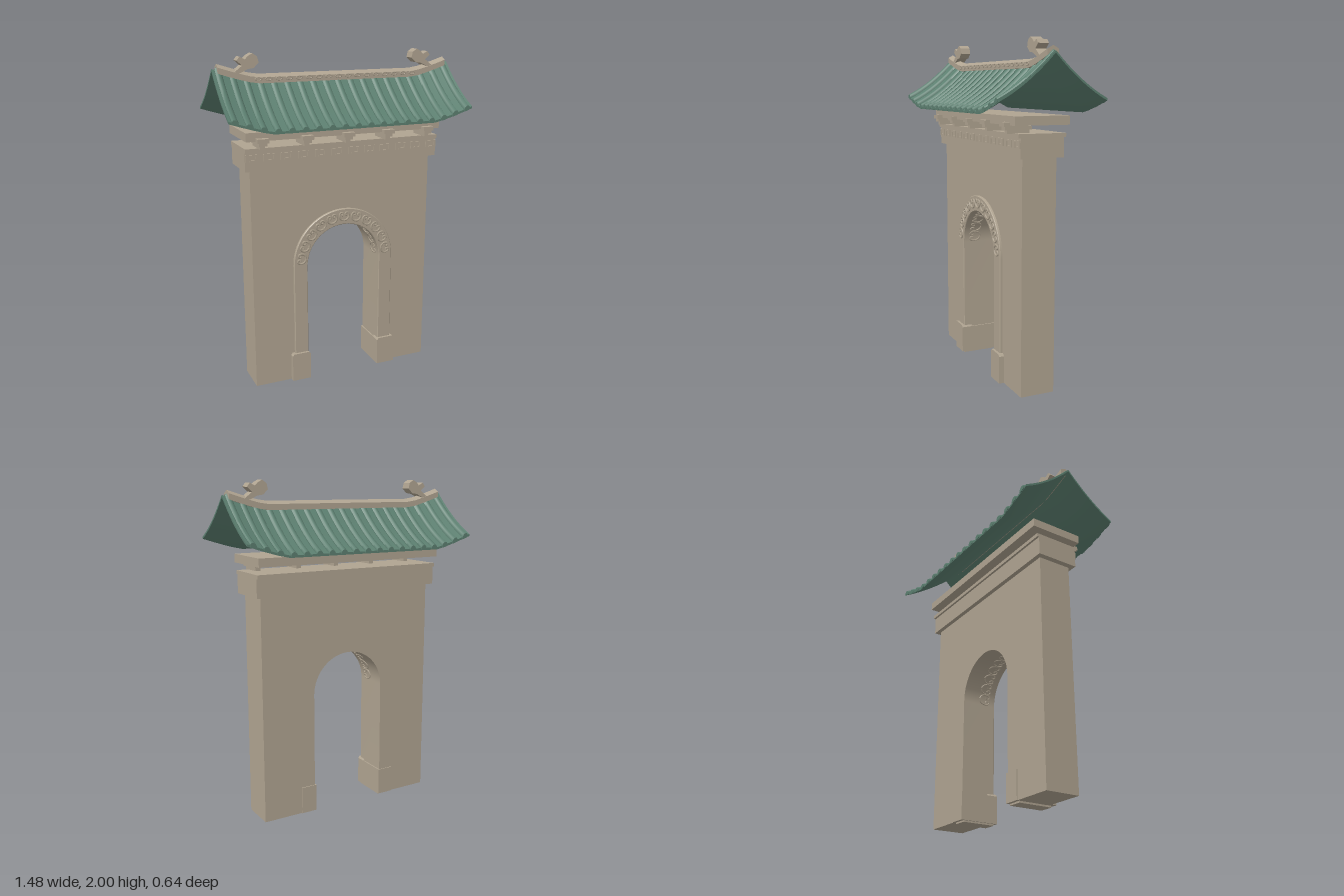
import * as THREE from 'three';
import { mergeGeometries, toCreasedNormals } from 'three/addons/utils/BufferGeometryUtils.js';

export function createModel() {
  const model = new THREE.Group();
  const stone = new THREE.MeshStandardMaterial({ color: 0xb0a491 });
  stone.name = 'stone';
  const tile = new THREE.MeshStandardMaterial({ color: 0x5c7f70 });
  tile.name = 'greenTile';

  const add = (name, geo, mat = stone) => {
    const mesh = new THREE.Mesh(geo, mat);
    mesh.name = name;
    model.add(mesh);
    return mesh;
  };
  // box from its limits on each axis
  const box = (x0, x1, y0, y1, z0, z1) =>
    new THREE.BoxGeometry(x1 - x0, y1 - y0, z1 - z0)
      .translate((x0 + x1) / 2, (y0 + y1) / 2, (z0 + z1) / 2);
  const deform = (geo, rule) => {
    const p = geo.attributes.position;
    const v = new THREE.Vector3();
    for (let i = 0; i < p.count; i++) {
      rule(v.fromBufferAttribute(p, i));
      p.setXYZ(i, v.x, v.y, v.z);
    }
    geo.computeVertexNormals();
    return geo;
  };
  const polygon = (pts) => new THREE.Shape(pts.map(([x, y]) => new THREE.Vector2(x, y)));

  // wall with arched gateway
  const SPRING = 0.745, INNER = 0.238, OUTER = 0.325;
  const wall = new THREE.Shape();
  wall.moveTo(-0.575, 0.01).lineTo(-INNER, 0.01).lineTo(-INNER, SPRING);
  wall.absarc(0, SPRING, INNER, Math.PI, 0, true);
  wall.lineTo(INNER, 0.01).lineTo(0.575, 0.01).lineTo(0.575, 1.36).lineTo(-0.575, 1.36);
  const wallGeo = new THREE.ExtrudeGeometry(wall, { depth: 0.207, bevelEnabled: false, curveSegments: 32 });
  add('wall', toCreasedNormals(wallGeo.translate(0, 0, -0.103), 0.5));

  // raised surround framing the gateway
  const band = new THREE.Shape();
  band.moveTo(-OUTER, 0).lineTo(-INNER, 0).lineTo(-INNER, SPRING);
  band.absarc(0, SPRING, INNER, Math.PI, 0, true);
  band.lineTo(INNER, 0).lineTo(OUTER, 0).lineTo(OUTER, SPRING + 0.01);
  band.absarc(0, SPRING + 0.01, OUTER, 0, Math.PI, false);
  const bandGeo = new THREE.ExtrudeGeometry(band, {
    depth: 0.014, curveSegments: 32,
    bevelSize: 0.004, bevelOffset: -0.004, bevelThickness: 0.004, bevelSegments: 1,
  });
  add('archSurround', toCreasedNormals(bandGeo.translate(0, 0, 0.102), 0.5));

  // plinths wrapping the jambs, with chamfered tops
  for (const s of [-1, 1]) {
    const plinth = polygon([[0.23, 0.01], [0.348, 0.01], [0.348, 0.175], [0.338, 0.188], [0.24, 0.188], [0.23, 0.175]]
      .map(([x, y]) => [s * x, y]));
    const front = new THREE.ExtrudeGeometry(plinth, { depth: 0.065, bevelEnabled: false }).translate(0, 0, 0.07);
    add('plinth', front);
    const x = s * 0.279;
    add('plinthBack', box(x - 0.049, x + 0.049, 0.01, 0.175, -0.109, 0.08));
    add('jambFoot', box(s * 0.281 - 0.043, s * 0.281 + 0.043, 0, 0.02, -0.09, 0.118));
  }

  // scroll carvings on the arch face and its underside
  const scrollPts = [[0.002, -0.03], [0.02, -0.024], [0.031, -0.004], [0.023, 0.018], [0.009, 0.017], [0.008, 0.004], [0.017, 0.002]];
  const scroll = (map, r) => [-1, 1].map((s) => new THREE.TubeGeometry(
    new THREE.CatmullRomCurve3(scrollPts.map(([u, v]) => map(s * u, v))), 18, r, 5));
  const face = [], soffit = [];
  for (let i = 0; i < 11; i++) {
    const a = THREE.MathUtils.degToRad(9 + i * 16.2);
    face.push(...scroll((u, v) => {
      const t = a + u / 0.283, r = 0.283 + v;
      return new THREE.Vector3(r * Math.cos(t), SPRING + 0.01 + r * Math.sin(t), 0.121);
    }, 0.006));
    soffit.push(...scroll((u, v) => {
      const t = a + u / 0.24;
      return new THREE.Vector3(INNER * Math.cos(t), SPRING + INNER * Math.sin(t), 0.05 + v * 1.4);
    }, 0.005));
  }
  add('archScrolls', mergeGeometries(face));
  add('soffitScrolls', mergeGeometries(soffit));

  // lintel, cornice and the beam carried by the brackets
  add('lintel', box(-0.608, 0.608, 1.36, 1.47, -0.13, 0.13));
  add('cornice', box(-0.608, 0.608, 1.47, 1.492, -0.143, 0.143));
  add('eaveBeam', box(-0.608, 0.608, 1.535, 1.585, -0.165, 0.165));

  // fret of open squares along the lintel front
  const fret = [];
  for (let i = 0; i < 12; i++) {
    const x = -0.572 + i * 0.104, z0 = 0.128, z1 = 0.137;
    fret.push(
      box(x - 0.034, x + 0.034, 1.447, 1.456, z0, z1),
      box(x - 0.034, x - 0.025, 1.415, 1.447, z0, z1),
      box(x + 0.025, x + 0.034, 1.415, 1.447, z0, z1),
      box(x - 0.012, x + 0.025, 1.415, 1.424, z0, z1));
  }
  add('lintelFret', mergeGeometries(fret));

  // stepped brackets
  for (const x of [-0.518, -0.255, 0, 0.255, 0.518]) {
    add('bracket', mergeGeometries([
      box(x - 0.015, x + 0.015, 1.49, 1.512, 0.04, 0.175),
      box(x - 0.024, x + 0.024, 1.51, 1.53, 0.032, 0.19),
      box(x - 0.034, x + 0.034, 1.528, 1.552, 0.06, 0.2),
    ]));
  }

  // roof: concave slope in z, upturned towards both ends in x
  const HALF = 0.74, EAVE = 0.313;
  const slope = (z) => {
    const t = Math.abs(z) / EAVE;
    return 1.85 - 0.242 * t - 0.088 * t * (1 - t);
  };
  const lift = (x) => 0.07 * Math.max(0, (Math.abs(x) - 0.49) / 0.25) ** 1.2;
  const alongX = (pts, half, steps) => {
    const geo = new THREE.ExtrudeGeometry(polygon(pts), { depth: 2 * half, steps, bevelEnabled: false });
    geo.translate(0, 0, -half).rotateY(Math.PI / 2);
    return toCreasedNormals(deform(geo, (v) => { v.y += lift(v.x); }), 0.4);
  };
  const zs = Array.from({ length: 17 }, (_, i) => -EAVE + (i * EAVE) / 8);
  const section = [
    ...zs.map((z) => [z, slope(z) - 0.013]),
    ...zs.slice().reverse().map((z) => [z, slope(z)]),
  ];
  add('roofSheet', alongX(section, HALF, 24), tile);

  // rounded tile ribs on both slopes
  const ribs = [];
  for (let i = 0; i < 19; i++) {
    for (const s of [-1, 1]) {
      const x = (i - 9) * 0.0782;
      const rib = new THREE.CylinderGeometry(0.02, 0.02, 0.317, 10, 8).rotateX(Math.PI / 2);
      rib.translate(x, 0, s * 0.1595);
      ribs.push(toCreasedNormals(deform(rib, (v) => {
        v.y = slope(v.z) + lift(v.x) + Math.max(v.y, -0.01);
      }), 0.7));
    }
  }
  add('tileRibs', mergeGeometries(ribs), tile);

  // ridge with pointed top
  add('ridge', alongX([[-0.033, 1.835], [0.033, 1.835], [0.033, 1.868], [0, 1.886], [-0.033, 1.868]], 0.712, 24));

  // small rings along the front of the ridge
  const rings = [];
  for (let i = 0; i < 17; i++) {
    rings.push(new THREE.TorusGeometry(0.009, 0.003, 5, 12).scale(1.9, 1, 1)
      .translate((i - 8) * 0.0605, 1.859, 0.033));
  }
  add('ridgeRings', mergeGeometries(rings));

  // curled finials near both ends of the ridge
  const curl = [[0.625, 1.897], [0.575, 1.935], [0.605, 1.962], [0.588, 1.984], [0.558, 1.968], [0.542, 1.985],
    [0.515, 2.0], [0.488, 1.982], [0.48, 1.948], [0.51, 1.92], [0.545, 1.915], [0.59, 1.893]];
  for (const s of [-1, 1]) {
    const shape = polygon(curl.map(([x, y]) => [s * x, y]));
    add('finial', new THREE.ExtrudeGeometry(shape, { depth: 0.064, bevelEnabled: false }).translate(0, 0, -0.032));
  }
  return model;
}
